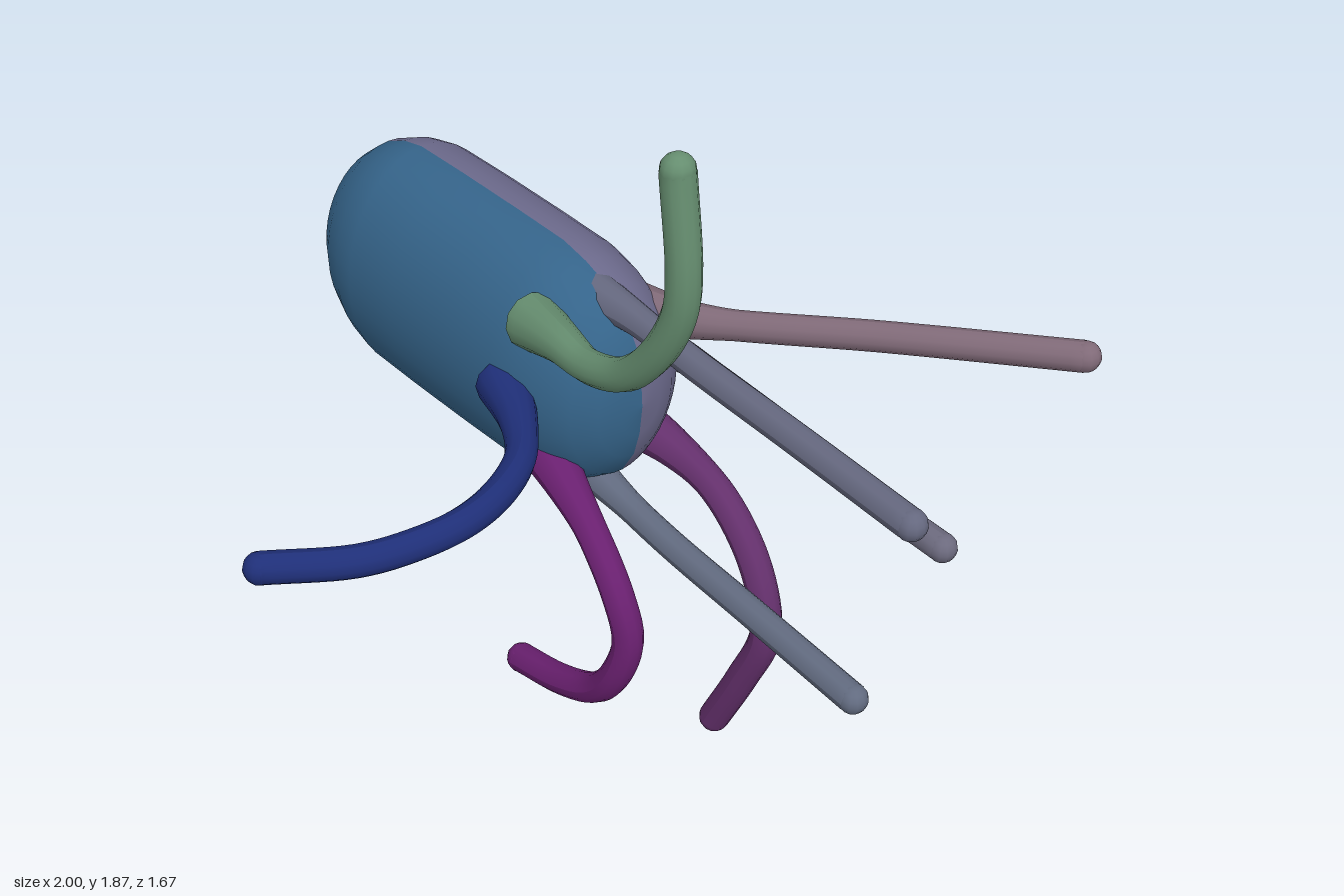
import * as THREE from 'three';

const mat = (color) => new THREE.MeshStandardMaterial({ color, roughness: 0.8 });

// Half of the long rounded body: a profile turned round x and flattened in z
function bodyHalf(name, phiStart, color) {
  const profile = [
    [0, -1], [0.08, -0.993], [0.155, -0.965], [0.215, -0.92], [0.265, -0.86],
    [0.298, -0.79], [0.314, -0.72], [0.316, -0.55], [0.315, -0.35], [0.312, -0.18],
    [0.295, -0.1], [0.265, -0.02], [0.22, 0.04], [0.15, 0.08], [0.08, 0.098], [0, 0.105],
  ].map(([r, x]) => new THREE.Vector2(r, x + 0.45));
  const geo = new THREE.LatheGeometry(profile, 20, phiStart, Math.PI);
  geo.rotateZ(-Math.PI / 2);
  geo.scale(1, 1, 0.74);
  const mesh = new THREE.Mesh(geo, mat(color));
  mesh.name = name;
  return mesh;
}

// Bent arm: a tube that flares where it leaves the body, with a rounded tip
function arm(name, color, points, radius = 0.039) {
  const group = new THREE.Group();
  group.name = name;
  const curve = new THREE.CatmullRomCurve3(points.map((p) => new THREE.Vector3(...p)));
  const length = curve.getLength();
  const steps = 40, sides = 12;
  const geo = new THREE.TubeGeometry(curve, steps, radius, sides);
  const pos = geo.attributes.position;
  const v = new THREE.Vector3();
  for (let i = 0; i <= steps; i++) {
    const t = i / steps;
    const centre = curve.getPointAt(t);
    const flare = 1 + 0.8 * Math.max(0, 1 - (t * length) / 0.27) ** 1.5;
    for (let j = 0; j <= sides; j++) {
      const k = i * (sides + 1) + j;
      v.fromBufferAttribute(pos, k).sub(centre).multiplyScalar(flare).add(centre);
      pos.setXYZ(k, v.x, v.y, v.z);
    }
  }
  geo.computeVertexNormals();
  const material = mat(color);
  const tube = new THREE.Mesh(geo, material);
  tube.name = name + 'Tube';
  const tip = new THREE.Mesh(new THREE.SphereGeometry(radius, 12, 8), material);
  tip.name = name + 'Tip';
  tip.position.copy(curve.getPointAt(1));
  group.add(tube, tip);
  return group;
}

export function createModel() {
  const model = new THREE.Group();
  model.name = 'tentacledCreature';

  // Body, turned slightly about the vertical
  const body = new THREE.Group();
  body.name = 'body';
  body.add(
    bodyHalf('bodyFront', -Math.PI / 2, 0x35648a),
    bodyHalf('bodyBack', Math.PI / 2, 0x6c6a8c),
  );
  body.position.set(-0.45, 0.975, -0.228);
  body.rotation.y = -0.045;
  model.add(body);

  // Eight arms round the open end of the body
  model.add(
    arm('raisedArm', 0x668e70, [
      [-0.12, 1.16, -0.07], [0.02, 1.19, -0.03], [0.14, 1.205, 0.0], [0.27, 1.26, 0.015],
      [0.37, 1.37, 0.02], [0.43, 1.5, 0.02], [0.44, 1.6, 0.022], [0.41, 1.83, 0.02]]),
    arm('backArm', 0x806a78, [
      [-0.06, 1.11, -0.33], [0.1, 1.13, -0.38], [0.48, 1.185, -0.59], [0.865, 1.235, -0.8]], 0.036),
    arm('upperArm', 0x65687f, [
      [-0.14, 1.2, -0.21], [0.05, 1.205, -0.205], [0.3, 1.195, -0.185],
      [0.62, 1.19, -0.16], [0.96, 1.185, -0.13]], 0.036),
    arm('middleArm', 0x6c6a7e, [
      [-0.14, 0.975, -0.4], [0.05, 0.975, -0.415], [0.25, 0.97, -0.405],
      [0.5, 0.96, -0.385], [0.62, 0.945, -0.38], [0.87, 0.94, -0.365]], 0.034),
    arm('lowerArm', 0x626b80, [
      [-0.14, 0.74, -0.19], [0.04, 0.705, -0.18], [0.25, 0.685, -0.16],
      [0.55, 0.68, -0.13], [0.88, 0.67, -0.1]], 0.035),
    arm('frontArm', 0x1f2f78, [
      [-0.17, 0.985, -0.02], [-0.04, 0.985, 0.05], [0.07, 0.985, 0.14], [0.135, 0.985, 0.26],
      [0.16, 0.985, 0.38], [0.15, 0.985, 0.5], [0.11, 0.985, 0.63], [-0.01, 0.985, 0.8]], 0.037),
    arm('curledFrontArm', 0x6a2070, [
      [-0.1, 0.82, -0.08], [0.02, 0.775, -0.05], [0.14, 0.72, -0.02], [0.25, 0.61, 0.0],
      [0.285, 0.5, 0.0], [0.25, 0.37, 0.01], [0.18, 0.285, 0.005],
      [0.06, 0.225, 0.0], [-0.1, 0.183, -0.01]], 0.038),
    arm('curledBackArm', 0x64306c, [
      [-0.08, 0.79, -0.33], [0.06, 0.75, -0.36], [0.2, 0.71, -0.36], [0.32, 0.62, -0.35],
      [0.39, 0.51, -0.34], [0.41, 0.4, -0.335], [0.35, 0.23, -0.33], [0.265, 0.039, -0.33]], 0.039),
  );
  return model;
}
